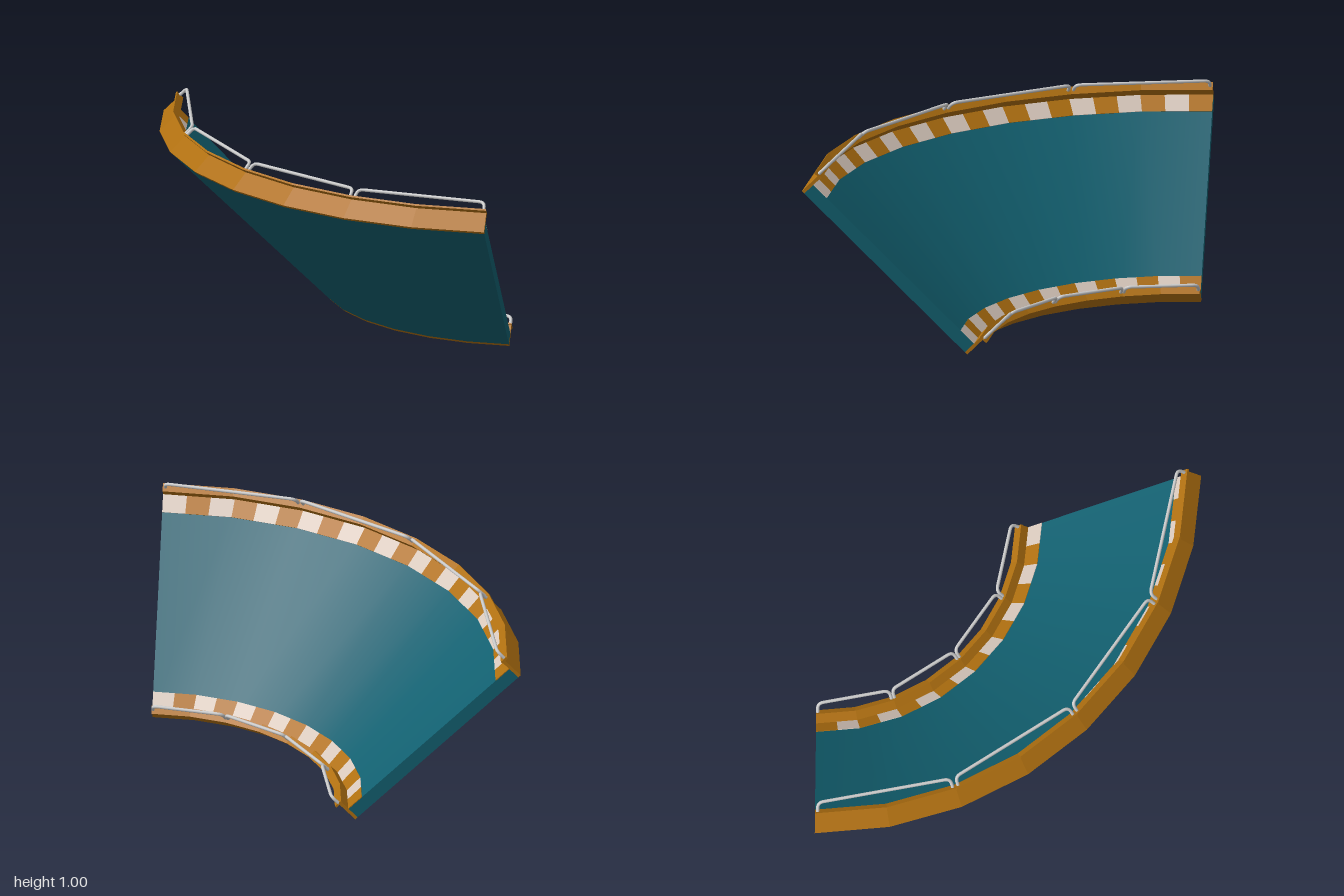
import * as THREE from 'three';
import { toCreasedNormals } from 'three/addons/utils/BufferGeometryUtils.js';

const SEGMENTS = 8; // straight facets in the quarter turn

const paint = (color) => new THREE.MeshStandardMaterial({ color });
const teal = paint(0x126070), orange = paint(0xb07010), white = paint(0xd8c8bc), grey = paint(0xcccccc);

// The bank rises at 45 degrees: a = radius + height runs up the slope,
// b = radius - height runs through it (smaller b is further above the deck).
// u counts facets along the turn, from the back end (0) to the left end (8).
function bankPoint(a, b, u) {
  const i = Math.min(Math.floor(u), SEGMENTS - 1);
  const r = (a + b) / 2;
  const corner = (k) => {
    const t = (k / SEGMENTS) * Math.PI / 2;
    return new THREE.Vector3(1 - r * Math.cos(t), (a - b) / 2, -1 + r * Math.sin(t));
  };
  return corner(i).lerp(corner(i + 1), u - i);
}

// Sweeps a rectangular section through the given facet positions and caps both ends.
function sweep([a0, a1], [b0, b1], stops) {
  const section = [[a0, b1], [a1, b1], [a1, b0], [a0, b0]];
  const rings = stops.map((u) => section.map(([a, b]) => bankPoint(a, b, u)));
  const pos = [];
  const quad = (p, q, r, s) => [p, q, r, p, r, s].forEach((v) => pos.push(v.x, v.y, v.z));
  for (let i = 0; i + 1 < rings.length; i++) {
    const p = rings[i], q = rings[i + 1];
    for (let k = 0; k < 4; k++) {
      const n = (k + 1) % 4;
      quad(p[k], q[k], q[n], p[n]);
    }
  }
  const first = rings[0], last = rings[rings.length - 1];
  quad(...first);
  quad(...[...last].reverse());
  const geo = new THREE.BufferGeometry();
  geo.setAttribute('position', new THREE.Float32BufferAttribute(pos, 3));
  geo.computeVertexNormals();
  return geo;
}

// Bent-tube guard rail spanning two facets, with rounded upper corners.
function railGeometry(a, u0, u1) {
  const foot0 = bankPoint(a, 0.965, u0), foot1 = bankPoint(a, 0.965, u1);
  const top0 = bankPoint(a, 0.885, u0), top1 = bankPoint(a, 0.885, u1);
  const toward = (p, q, d) => p.clone().add(q.clone().sub(p).setLength(d));
  const bend = 0.03;
  const c0 = toward(top0, foot0, bend), c1 = toward(top0, top1, bend);
  const c2 = toward(top1, top0, bend), c3 = toward(top1, foot1, bend);
  const path = new THREE.CurvePath();
  path.add(new THREE.LineCurve3(foot0, c0));
  path.add(new THREE.QuadraticBezierCurve3(c0, top0, c1));
  path.add(new THREE.LineCurve3(c1, c2));
  path.add(new THREE.QuadraticBezierCurve3(c2, top1, c3));
  path.add(new THREE.LineCurve3(c3, foot1));
  return new THREE.TubeGeometry(path, 72, 0.009, 8, false);
}

export function createModel() {
  const model = new THREE.Group();
  const add = (parent, name, geo, material) => {
    const mesh = new THREE.Mesh(geo, material);
    mesh.name = name;
    parent.add(mesh);
  };
  const allStops = Array.from({ length: SEGMENTS + 1 }, (_, i) => i);

  // Banked deck
  add(model, 'bankedDeck', toCreasedNormals(sweep([1.16, 2.84], [1.04, 1.135], allStops), 0.4), teal);

  // Lower and upper edges: board, cap, painted stripes and guard rails
  const edges = [
    { name: 'lower', board: [1.135, 1.16], cap: [1.1, 1.165], band: [1.16, 1.3], stripes: 16, rail: 1.135 },
    { name: 'upper', board: [2.84, 2.865], cap: [2.835, 2.9], band: [2.7, 2.84], stripes: 24, rail: 2.87 },
  ];
  for (const e of edges) {
    const edge = new THREE.Group();
    edge.name = e.name + 'Edge';
    model.add(edge);
    add(edge, 'edgeBoard', sweep(e.board, [0.97, 1.135], allStops), orange);
    add(edge, 'edgeCap', sweep(e.cap, [0.957, 0.972], allStops), orange);

    const step = SEGMENTS / e.stripes;
    for (let i = 0; i < e.stripes; i++) {
      const geo = sweep(e.band, [1.036, 1.042], [i * step, (i + 1) * step]);
      add(edge, 'stripe', geo, i % 2 ? white : orange);
    }

    for (let u = 0; u < SEGMENTS; u += 2) {
      add(edge, 'guardRail', railGeometry(e.rail, u + 0.04, u + 1.96), grey);
    }
  }
  return model;
}
